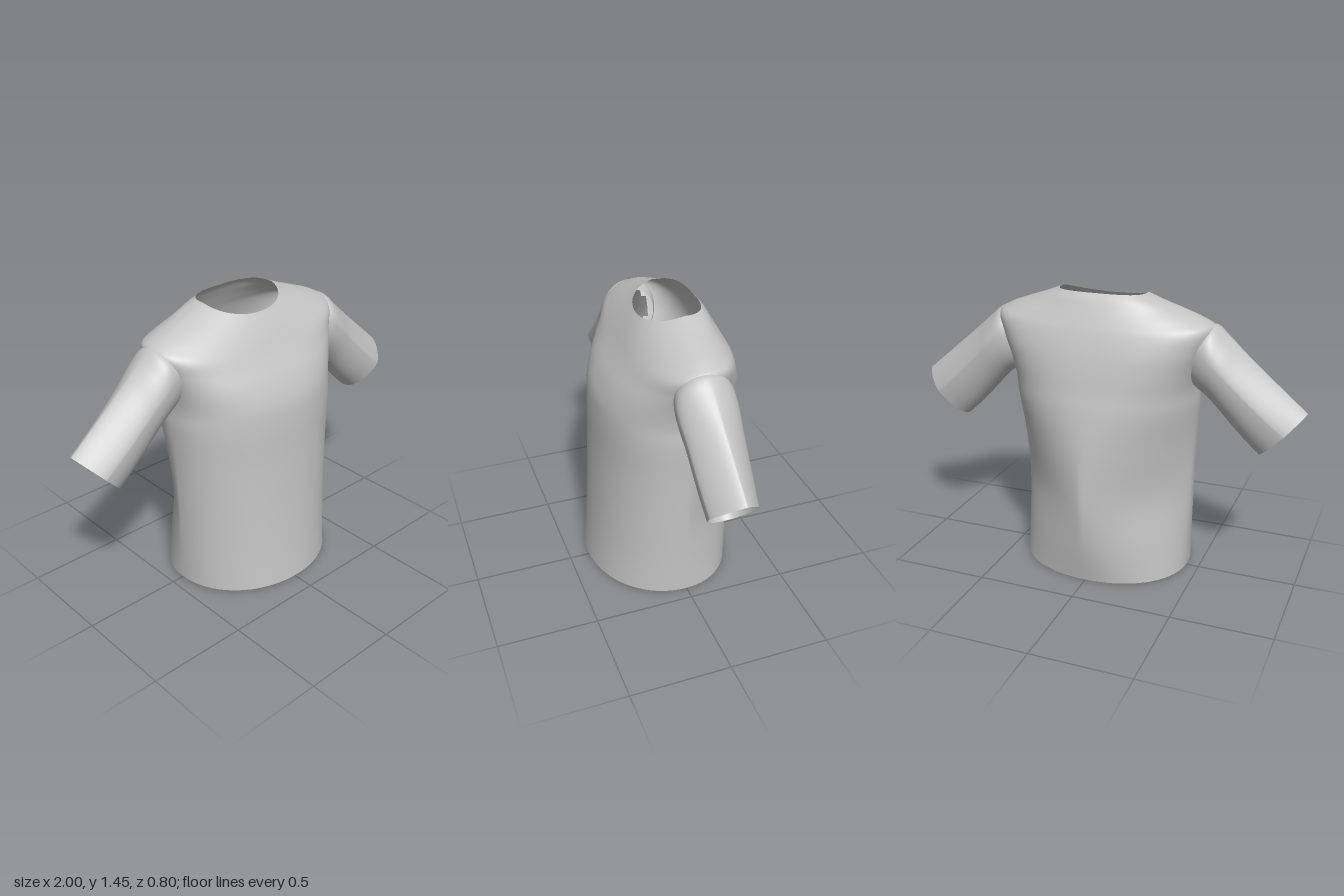
import * as THREE from 'three';

const SEGMENTS = 80;

// Signed power, used for rounded-square and pointed outlines
const spow = (v, p) => Math.sign(v) * Math.pow(Math.abs(v), p);

// Skins closed rings: every column of ring points is smoothed by a spline
function loft(ringCount, pointAt, rows, skip = () => false) {
  const positions = [];
  const index = [];
  const grid = [];
  for (let j = 0; j < SEGMENTS; j++) {
    const angle = (j / SEGMENTS) * Math.PI * 2;
    const column = [];
    for (let i = 0; i < ringCount; i++) column.push(pointAt(i, angle));
    grid.push(new THREE.CatmullRomCurve3(column).getPoints(rows));
  }
  for (const column of grid) for (const p of column) positions.push(p.x, p.y, p.z);
  for (let j = 0; j < SEGMENTS; j++) {
    const next = (j + 1) % SEGMENTS;
    for (let i = 0; i < rows; i++) {
      const mid = grid[j][i].clone().add(grid[next][i + 1]).multiplyScalar(0.5);
      if (skip(mid)) continue;
      const a = j * (rows + 1) + i;
      const b = next * (rows + 1) + i;
      index.push(a, a + 1, b, b, a + 1, b + 1);
    }
  }
  const geometry = new THREE.BufferGeometry();
  geometry.setAttribute('position', new THREE.Float32BufferAttribute(positions, 3));
  geometry.setIndex(index);
  geometry.computeVertexNormals();
  return geometry;
}

// Torso rings: side x, side y, front z, front y, back z, back y, side z,
// front roundness, back roundness (low values pinch the back at the waist)
const TORSO = [
  [0.44, 0.01, 0.40, 0.015, -0.33, 0.0, 0.01, 2.05, 2.15],
  [0.442, 0.2, 0.382, 0.2, -0.37, 0.2, 0.01, 2.05, 1.68],
  [0.447, 0.45, 0.362, 0.45, -0.397, 0.45, 0.01, 2.1, 1.38],
  [0.455, 0.7, 0.347, 0.7, -0.391, 0.7, 0.01, 2.15, 1.6],
  [0.465, 0.9, 0.338, 0.9, -0.365, 0.9, 0.0, 2.25, 2.0],
  [0.464, 1.0, 0.325, 1.0, -0.343, 1.0, -0.01, 2.35, 2.25],
  [0.482, 1.1, 0.286, 1.1, -0.323, 1.1, -0.02, 2.55, 2.5],
  [0.515, 1.2, 0.238, 1.18, -0.3, 1.19, -0.03, 2.6, 2.6],
  [0.547, 1.3, 0.205, 1.235, -0.27, 1.275, -0.035, 2.4, 2.4],
  [0.5, 1.335, 0.18, 1.28, -0.247, 1.325, -0.04, 2.2, 2.2],
  [0.4, 1.375, 0.153, 1.325, -0.22, 1.378, -0.045, 2.1, 2.1],
  [0.3, 1.41, 0.13, 1.36, -0.195, 1.42, -0.05, 2.1, 2.4],
  [0.218, 1.442, 0.11, 1.388, -0.172, 1.445, -0.05, 2.1, 2.9],
];

function torsoPoint(i, angle) {
  const [x, ySide, zFront, yFront, zBack, yBack, zSide, nFront, nBack] = TORSO[i];
  const s = Math.sin(angle);
  const n = s > 0 ? nFront : nBack;
  const depth = spow(s, 2 / n);
  const z = zSide + depth * (s > 0 ? zFront - zSide : zSide - zBack);
  const y = ySide + (s > 0 ? Math.pow(depth, 1.3) * (yFront - ySide) : s * s * (yBack - ySide));
  return new THREE.Vector3(x * spow(Math.cos(angle), 2 / n), y, z);
}

// Leaves the armholes open where the sleeves join
const inArmhole = (p) => Math.abs(p.x) > 0.42
  && ((p.y - 1.165) / 0.1) ** 2 + ((p.z + 0.025) / 0.09) ** 2 < 1;

// Sleeve rings: top x, top y, bottom x, bottom y, front z, back z, top roundness
const SLEEVE = [
  [0.46, 1.285, 0.4, 1.06, 0.085, -0.13, 2],
  [0.54, 1.312, 0.465, 1.005, 0.11, -0.163, 2],
  [0.61, 1.262, 0.525, 0.962, 0.115, -0.17, 1.7],
  [0.69, 1.192, 0.595, 0.89, 0.108, -0.162, 1.5],
  [0.78, 1.115, 0.66, 0.82, 0.106, -0.153, 1.4],
  [0.89, 1.022, 0.722, 0.757, 0.104, -0.143, 1.35],
  [1.0, 0.93, 0.785, 0.7, 0.1, -0.13, 1.35],
];

// Each sleeve is folded to a soft ridge along its top and round below
function sleevePoint(i, angle, side) {
  const [tx, ty, bx, by, zFront, zBack, nTop] = SLEEVE[i];
  const s = Math.sin(angle);
  const n = s > 0 ? nTop : 2;
  const widest = 0.58;
  const up = widest + spow(s, 2 / n) * (s > 0 ? 1 - widest : widest);
  const across = spow(Math.cos(angle), 2 / n);
  const zMid = -0.03;
  const z = zMid + across * (across > 0 ? zFront - zMid : zMid - zBack);
  return new THREE.Vector3(side * (bx + (tx - bx) * up), by + (ty - by) * up, z);
}

export function createModel() {
  const shirt = new THREE.Group();
  shirt.name = 'shirt';
  const cloth = new THREE.MeshStandardMaterial({ color: 0xc4c4c4, side: THREE.DoubleSide });
  cloth.name = 'light grey cloth';

  const torso = new THREE.Mesh(loft(TORSO.length, torsoPoint, 72, inArmhole), cloth);
  torso.name = 'torso';
  shirt.add(torso);

  // The right sleeve runs its rings the other way so its faces also point outward
  for (const [name, side] of [['leftSleeve', 1], ['rightSleeve', -1]]) {
    const pointAt = (i, angle) => sleevePoint(i, side * angle, side);
    const sleeve = new THREE.Mesh(loft(SLEEVE.length, pointAt, 30), cloth);
    sleeve.name = name;
    shirt.add(sleeve);
  }
  return shirt;
}
